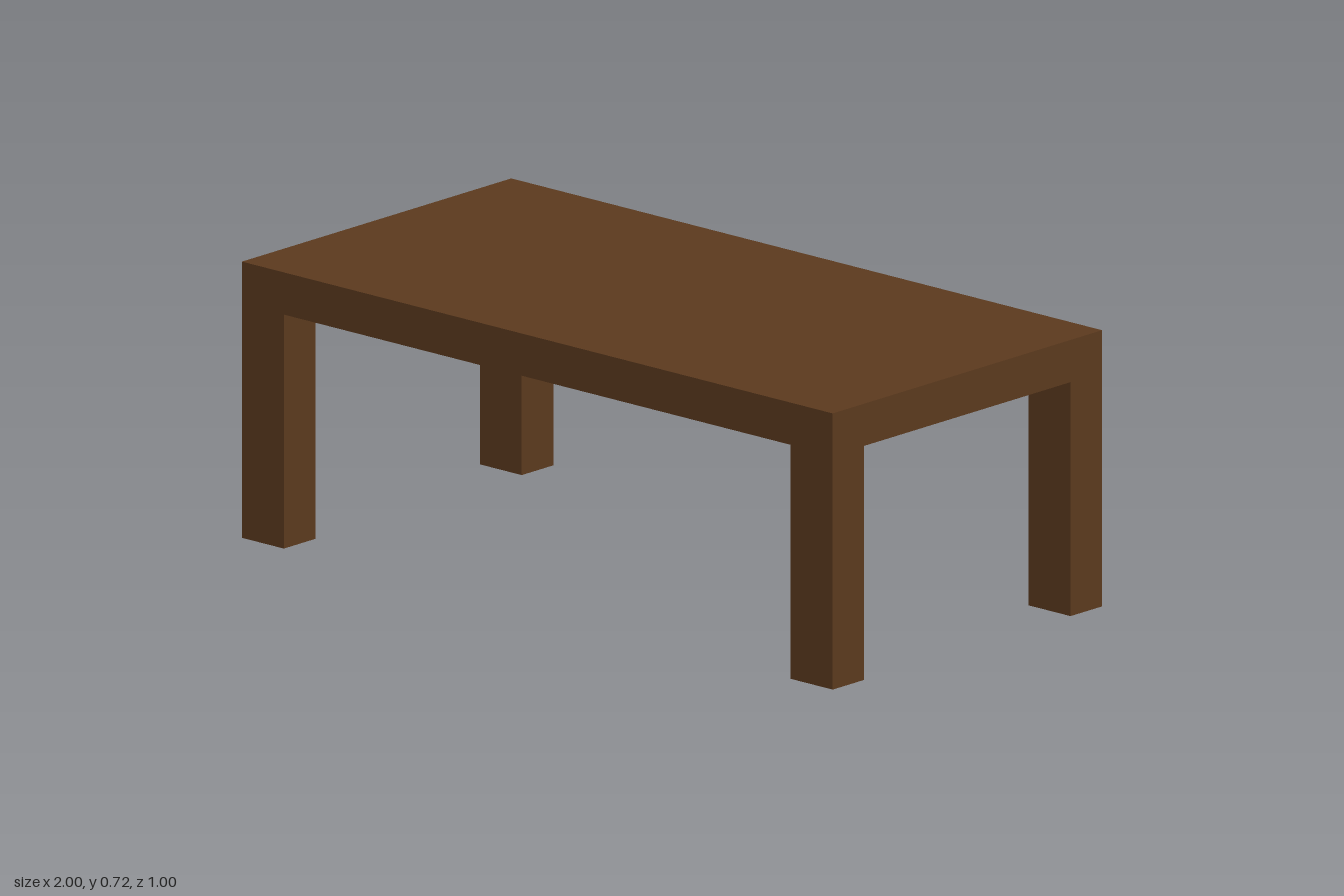
import * as THREE from 'three';

export function createModel() {
  const group = new THREE.Group();
  group.name = 'table';
  const wood = new THREE.MeshStandardMaterial({ color: 0x5c3a1e });

  const length = 2, depth = 1, height = 0.72;
  const legHeight = 0.61, legWidth = 0.142, legDepth = 0.117;

  const addBox = (name, w, h, d, x, y, z) => {
    const mesh = new THREE.Mesh(new THREE.BoxGeometry(w, h, d), wood);
    mesh.name = name;
    mesh.position.set(x, y, z);
    group.add(mesh);
  };

  // Solid slab top
  const slab = height - legHeight;
  addBox('tabletop', length, slab, depth, 0, legHeight + slab / 2, 0);

  // Four legs, flush with the corners of the top
  for (const sx of [1, -1]) {
    for (const sz of [1, -1]) {
      const name = (sz > 0 ? 'front' : 'back') + (sx > 0 ? 'Left' : 'Right') + 'Leg';
      addBox(name, legWidth, legHeight, legDepth,
        sx * (length - legWidth) / 2, legHeight / 2, sz * (depth - legDepth) / 2);
    }
  }
  return group;
}
